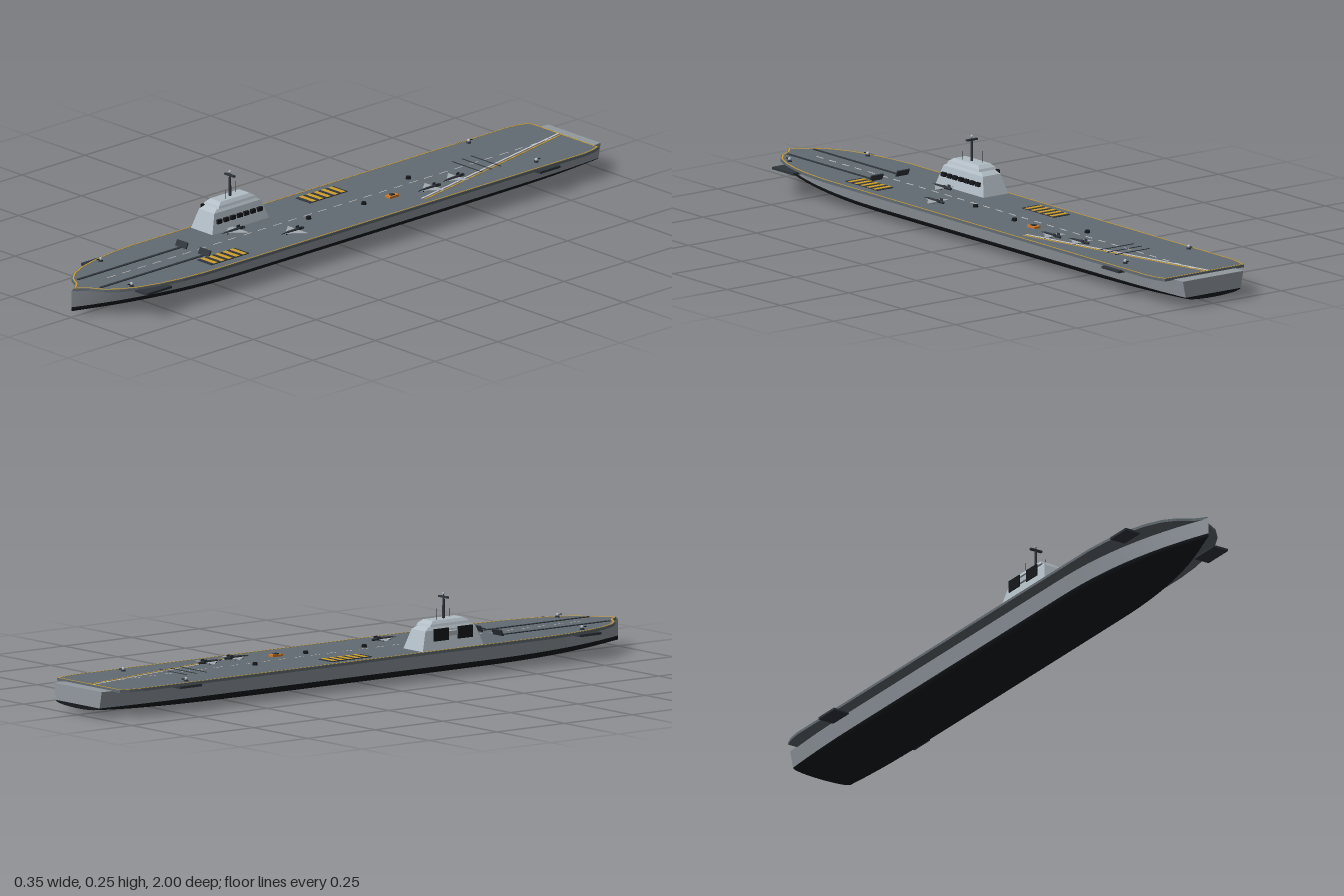
import * as THREE from 'three';

const mat = (color, flat = false) => new THREE.MeshStandardMaterial({ color, side: THREE.DoubleSide, flatShading: flat });
const DECK = 0.089;

export function createModel() {
  const root = new THREE.Group();
  root.name = 'aircraftCarrier';
  const M = {
    hull: mat(0x9299a0), keel: mat(0x16191d), deck: mat(0x626b72), dark: mat(0x30363c), black: mat(0x15181c),
    tower: mat(0xb2bdc5, true), yellow: mat(0xd0a02c), white: mat(0xe0e2e2), jet: mat(0xa3abb2, true), orange: mat(0xd07a28),
  };
  const add = (name, geo, m, x = 0, y = 0, z = 0, parent = root) => {
    const mesh = new THREE.Mesh(geo, m);
    mesh.name = name;
    mesh.position.set(x, y, z);
    parent.add(mesh);
    return mesh;
  };
  const box = (name, w, h, d, m, x, y, z, parent) => add(name, new THREE.BoxGeometry(w, h, d), m, x, y, z, parent);

  // Surface through a grid of points: rows run along the ship, columns across it
  const loft = (rows) => {
    const n = rows[0].length, idx = [];
    for (let i = 0; i < rows.length - 1; i++) for (let j = 0; j < n - 1; j++) {
      const a = i * n + j, b = a + n;
      idx.push(a, b, a + 1, b, b + 1, a + 1);
    }
    const g = new THREE.BufferGeometry();
    g.setAttribute('position', new THREE.Float32BufferAttribute(rows.flat(2), 3));
    g.setIndex(idx);
    g.computeVertexNormals();
    return g;
  };

  // Hull: full beam amidships, narrowing to a sharp stem and slightly to the stern
  const stations = [];
  for (let i = 0; i <= 40; i++) stations.push(-1 + i / 20);
  const beam = (z) => {
    if (z > 0.4) return 1 - Math.pow((z - 0.4) / 0.6, 2.2);
    return z < -0.7 ? 1 - 0.1 * Math.pow((-0.7 - z) / 0.3, 2) : 1;
  };
  const WATER = 0.034, TOP = 0.083;
  const keelY = (z) => 0.003 + 0.019 * Math.pow(Math.abs(z), 5);
  const bottomRow = (z) => {
    const row = [];
    for (let j = 0; j <= 16; j++) {
      const a = (j / 16 - 0.5) * Math.PI, k = keelY(z);
      row.push([0.112 * beam(z) * Math.sin(a), WATER - (WATER - k) * Math.pow(Math.cos(a), 0.9), z]);
    }
    return row;
  };
  const sideRow = (s) => (z) => [[s * 0.112 * beam(z), WATER, z], [s * 0.123 * beam(z), TOP, z]];
  add('underwaterHull', loft(stations.map(bottomRow)), M.keel);
  for (const s of [-1, 1]) add(s > 0 ? 'leftHullSide' : 'rightHullSide', loft(stations.map(sideRow(s))), M.hull);

  // Stern closure and the ledge behind the flight deck
  const b = beam(-1);
  add('transom', loft([[[-0.112 * b, WATER, -1], [0.112 * b, WATER, -1]], [[-0.123 * b, TOP, -1], [0.123 * b, TOP, -1]]]), M.hull);
  add('lowerTransom', loft([bottomRow(-1), bottomRow(-1).map(([x]) => [x, WATER, -1])]), M.keel);
  add('sternLedge', loft([-1, -0.97, -0.94].map((z) => [[-0.123 * beam(z), TOP, z], [0.123 * beam(z), TOP, z]])), M.hull);

  // Flight deck
  const half = [[0.145, -0.96], [0.155, -0.93], [0.161, -0.89], [0.161, 0.62], [0.155, 0.7], [0.142, 0.78],
    [0.122, 0.85], [0.098, 0.9], [0.068, 0.935], [0.03, 0.957], [0.015, 0.973]];
  const outline = (inset) => {
    const pts = half.map(([x, z]) => new THREE.Vector2(x - Math.min(inset, x), z - Math.sign(z) * inset));
    const tip = new THREE.Vector2(0, 0.993 - inset * 2);
    return [...pts, tip, ...pts.map((p) => new THREE.Vector2(-p.x, p.y)).reverse()];
  };
  const slab = (shape, depth) =>
    new THREE.ExtrudeGeometry(shape, { depth, bevelEnabled: false }).rotateX(Math.PI / 2);
  add('flightDeck', slab(new THREE.Shape(outline(0)), 0.008), M.deck, 0, DECK, 0);
  const edge = new THREE.Shape(outline(0.002));
  edge.holes.push(new THREE.Path(outline(0.005)));
  add('deckEdgeLine', slab(edge, 0.0008), M.yellow, 0, DECK + 0.0008, 0);

  // Sponsons and their point-defence mounts
  for (const [x, z, len, gx, gz] of [[-0.148, -0.72, 0.08, -0.138, -0.71], [0.148, -0.74, 0.08, 0.117, -0.738],
    [-0.136, 0.77, 0.08, -0.12, 0.77], [0.14, 0.805, 0.1, 0.1, 0.855]]) {
    const w = z < 0 ? 0.052 : 0.05;
    box('sponson', w, 0.007, len, M.dark, x, 0.0795, z);
    add('gunBase', new THREE.CylinderGeometry(0.006, 0.007, 0.005, 10), M.dark, gx, DECK + 0.0025, gz);
    add('gunDome', new THREE.SphereGeometry(0.005, 10, 8), M.tower, gx, DECK + 0.008, gz);
    box('gunBarrel', 0.002, 0.002, 0.014, M.black, gx, DECK + 0.008, gz + Math.sign(gz) * 0.009);
  }

  // Deck markings
  for (let z = -0.9; z < 0.9; z += 0.06) box('centreDash', 0.003, 0.001, 0.032, M.white, 0, DECK + 0.0005, z);
  const line = (name, m, x0, z0, x1, z1, w) => {
    const o = box(name, w, 0.0012, Math.hypot(x1 - x0, z1 - z0), m, (x0 + x1) / 2, DECK + 0.0006, (z0 + z1) / 2);
    o.rotation.y = Math.atan2(x1 - x0, z1 - z0);
  };
  line('landingLine', M.white, -0.019, -0.955, 0.121, -0.28, 0.006);
  line('landingEdgeLine', M.yellow, -0.007, -0.955, 0.133, -0.28, 0.004);
  for (const z of [-0.637, -0.6, -0.563]) box('arrestingWire', 0.125, 0.0015, 0.003, M.dark, 0.012, DECK + 0.001, z);

  // Catapults with raised blast deflectors
  for (const x of [-0.048, 0.048]) {
    box('catapultTrack', 0.009, 0.002, 0.41, M.dark, x, DECK + 0.001, 0.725);
    box('blastDeflector', 0.045, 0.02, 0.004, M.dark, x, DECK + 0.009, 0.515).rotation.x = -0.45;
  }

  // Striped lifts
  for (const [x, z] of [[-0.1, -0.09], [0.096, 0.487]]) {
    box('lift', 0.06, 0.002, 0.15, M.dark, x, DECK + 0.001, z);
    for (let i = 0; i < 5; i++) box('liftStripe', 0.058, 0.001, 0.014, M.yellow, x, DECK + 0.0025, z - 0.06 + i * 0.029);
  }

  // Island: tapered blocks of [width, length] stacked on the deck
  const island = new THREE.Group();
  island.name = 'island';
  island.position.set(-0.108, 0, 0.267);
  root.add(island);
  const taper = (name, y0, w0, d0, y1, w1, d1) => {
    const g = new THREE.BoxGeometry(1, y1 - y0, 1), p = g.attributes.position;
    for (let i = 0; i < p.count; i++) {
      const top = p.getY(i) > 0;
      p.setX(i, p.getX(i) * (top ? w1 : w0));
      p.setZ(i, p.getZ(i) * (top ? d1 : d0));
    }
    g.computeVertexNormals();
    add(name, g, M.tower, 0, (y0 + y1) / 2, 0, island);
  };
  taper('islandBase', DECK, 0.09, 0.225, 0.146, 0.064, 0.185);
  taper('islandShoulder', 0.146, 0.064, 0.185, 0.156, 0.05, 0.15);
  taper('bridge', 0.156, 0.065, 0.15, 0.163, 0.059, 0.142);
  taper('bridgeRoof', 0.163, 0.059, 0.142, 0.172, 0.044, 0.115);
  for (let i = 0; i < 7; i++) box('window', 0.012, 0.012, 0.018, M.black, 0.0385, 0.122, -0.08 + i * 0.0267, island);
  for (const z of [-0.045, 0.045]) box('sidePanel', 0.003, 0.036, 0.055, M.black, -0.045, 0.134, z, island);
  box('panelMount', 0.016, 0.014, 0.12, M.tower, -0.036, 0.134, 0, island);
  add('mast', new THREE.CylinderGeometry(0.0035, 0.004, 0.062, 10), M.dark, 0, 0.202, 0, island);
  box('radarBar', 0.04, 0.005, 0.008, M.dark, 0, 0.2345, 0, island);
  add('radome', new THREE.SphereGeometry(0.004, 12, 8), M.tower, 0, 0.245, 0, island);
  add('radomeStem', new THREE.CylinderGeometry(0.001, 0.001, 0.008, 6), M.dark, 0, 0.239, 0, island);
  for (const [x, z, h] of [[-0.012, -0.035, 0.033], [0.012, 0.03, 0.025]])
    add('antenna', new THREE.CylinderGeometry(0.0008, 0.0008, h, 6), M.dark, x, 0.172 + h / 2, z, island);

  // Parked jets, nose towards the bow
  const wing = new THREE.Shape([[-0.042, -0.022], [0.042, -0.022], [0.012, 0.014], [0, 0.04], [-0.012, 0.014]]
    .map(([x, y]) => new THREE.Vector2(x, y)));
  const body = new THREE.LatheGeometry([[0, -0.045], [0.004, -0.044], [0.005, -0.01], [0.004, 0.022], [0, 0.046]]
    .map(([r, y]) => new THREE.Vector2(r, y)), 8).rotateX(Math.PI / 2);
  for (const [x, z, turn] of [[0.067, -0.455, 0.05], [0.082, -0.345, 0], [0.083, 0.2, 0], [-0.038, 0.32, 0]]) {
    const jet = new THREE.Group();
    jet.name = 'jet';
    jet.position.set(x, DECK, z);
    jet.rotation.y = turn;
    add('jetWing', slab(wing, 0.0015), M.jet, 0, 0.0065, 0, jet);
    add('jetBody', body, M.dark, 0, 0.007, 0, jet);
    for (const s of [-1, 1]) box('jetFin', 0.0015, 0.009, 0.012, M.dark, s * 0.007, 0.011, -0.026, jet);
    for (const [wx, wz] of [[0, 0.022], [-0.01, -0.012], [0.01, -0.012]])
      box('jetWheel', 0.002, 0.006, 0.003, M.black, wx, 0.003, wz, jet);
    root.add(jet);
  }

  // Deck tractor and equipment
  box('tractor', 0.022, 0.006, 0.036, M.orange, 0.052, DECK + 0.004, -0.226);
  box('tractorSeat', 0.012, 0.004, 0.014, M.dark, 0.052, DECK + 0.008, -0.226);
  for (const [x, z] of [[-0.032, -0.37], [0.042, -0.123], [0.025, 0.08]])
    add('deckEquipment', new THREE.CylinderGeometry(0.007, 0.008, 0.008, 12), M.black, x, DECK + 0.004, z);

  return root;
}
